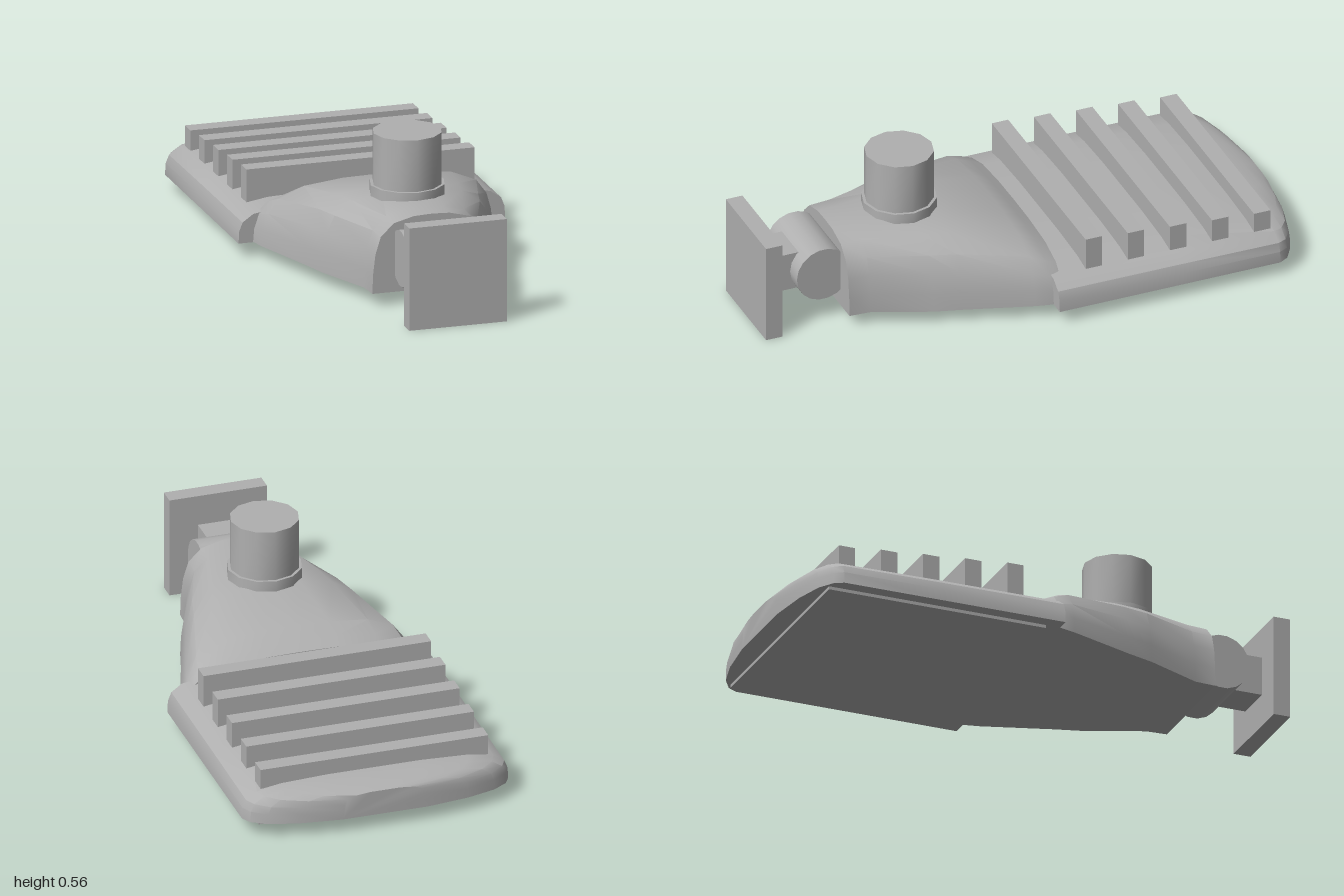
import * as THREE from 'three';
import { toCreasedNormals } from 'three/addons/utils/BufferGeometryUtils.js';

const grey = new THREE.MeshStandardMaterial({ color: 0xb0b0b0 });
grey.name = 'grey metal';

// Loft a domed half-profile (x, y as fractions) through stations [z, halfWidth, bottom, top], z descending.
function domeLoft(profile, stations) {
  const ring = [...profile, ...profile.slice(0, -1).reverse().map(([x, y]) => [-x, y])];
  const n = ring.length, pos = [], idx = [];
  for (const [z, w, y0, y1] of stations)
    for (const [x, y] of ring) pos.push(x * w, y0 + y * (y1 - y0), z);
  for (let s = 0; s < stations.length - 1; s++)
    for (let i = 0; i < n; i++) {
      const j = (i + 1) % n, a = s * n + i, b = s * n + j, c = a + n, d = b + n;
      idx.push(a, c, b, b, c, d);
    }
  // flat end caps
  const last = (stations.length - 1) * n;
  for (let i = 1; i < n - 1; i++) idx.push(0, i, i + 1, last, last + i + 1, last + i);
  const g = new THREE.BufferGeometry();
  g.setAttribute('position', new THREE.Float32BufferAttribute(pos, 3));
  g.setIndex(idx);
  return toCreasedNormals(g, 0.55);
}

export function createModel() {
  const model = new THREE.Group();
  model.name = 'streetLamp';
  const add = (name, geometry, x = 0, y = 0, z = 0) => {
    const mesh = new THREE.Mesh(geometry, grey);
    mesh.name = name;
    mesh.position.set(x, y, z);
    model.add(mesh);
    return mesh;
  };
  // box given by half width, y range and z range
  const slab = (name, w, y0, y1, z0, z1) =>
    add(name, new THREE.BoxGeometry(2 * w, y1 - y0, z1 - z0), 0, (y0 + y1) / 2, (z0 + z1) / 2);
  const drum = (name, r, len, sides) =>
    add(name, toCreasedNormals(new THREE.CylinderGeometry(r, r, len, sides), 0.6));

  // flat lamp head with rounded far end
  add('lampHead', domeLoft(
    [[1, 0], [0.995, 0.35], [0.97, 0.6], [0.89, 0.82], [0.7, 0.94], [0.35, 1], [0, 1]],
    [[-0.015, 0.505, 0.055, 0.185], [-0.5, 0.505, 0.055, 0.183], [-0.88, 0.505, 0.055, 0.178],
      [-0.915, 0.485, 0.055, 0.173], [-0.95, 0.43, 0.055, 0.166], [-0.98, 0.32, 0.055, 0.158],
      [-1, 0.16, 0.055, 0.15]]));

  // tapered housing
  add('housing', domeLoft(
    [[1, 0], [0.99, 0.25], [0.95, 0.52], [0.86, 0.75], [0.64, 0.92], [0.3, 0.99], [0, 1]],
    [[0.69, 0.225, 0.05, 0.332], [0.61, 0.23, 0.05, 0.335], [0.4, 0.32, 0.052, 0.335],
      [0.3, 0.35, 0.053, 0.33], [0.05, 0.435, 0.056, 0.29], [-0.01, 0.45, 0.057, 0.258],
      [-0.05, 0.45, 0.06, 0.236]]));

  // light panel underneath
  slab('lightPanel', 0.455, 0.043, 0.07, -0.92, -0.07);

  // cooling fins, lower towards the far end
  for (let i = 0; i < 5; i++) {
    const z = -0.18 - i * 0.165;
    slab('coolingFin', 0.432, 0.16, 0.288 - i * 0.0128, z - 0.032, z + 0.032);
  }

  // sensor on top
  drum('sensorCollar', 0.138, 0.05, 12).position.set(0, 0.34, 0.4);
  drum('sensor', 0.127, 0.22, 12).position.set(0, 0.45, 0.4);

  // swivel joint, arm and wall plate
  const joint = drum('swivelJoint', 0.105, 0.28, 18);
  joint.rotation.z = Math.PI / 2;
  joint.position.set(0, 0.195, 0.755);
  slab('mountArm', 0.077, 0.122, 0.27, 0.74, 0.94);
  slab('mountPlate', 0.185, 0, 0.387, 0.935, 1);

  return model;
}
